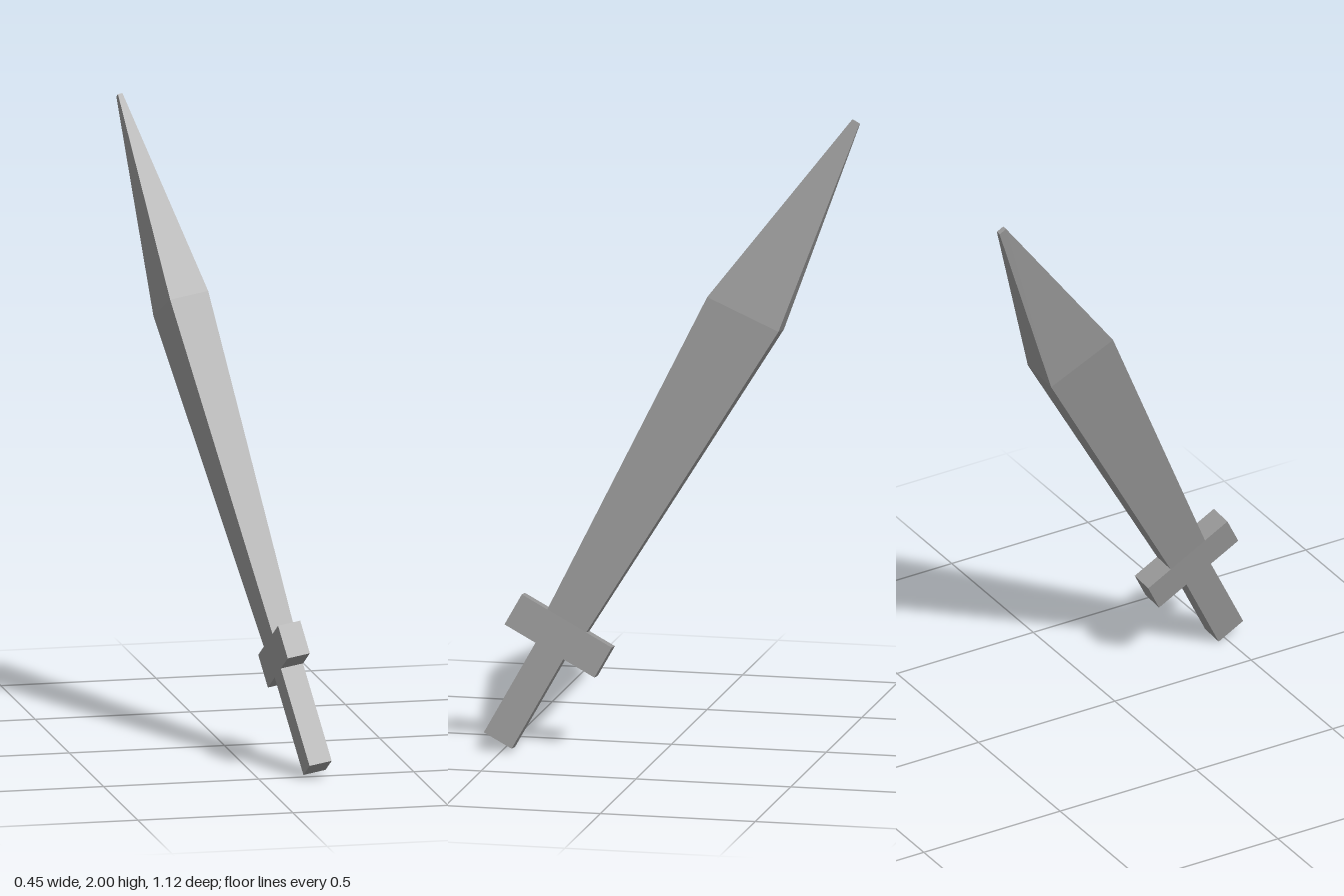
import * as THREE from 'three';

const THICK = 0.074; // shared thickness of grip, guard and blade root

function part(name, geometry) {
  const material = new THREE.MeshStandardMaterial({ color: 0x969696, flatShading: true });
  const mesh = new THREE.Mesh(geometry, material);
  mesh.name = name;
  return mesh;
}

// Box standing between two heights along the sword's own axis
function block(name, bottom, top, width) {
  const geometry = new THREE.BoxGeometry(THICK, top - bottom, width);
  geometry.translate(0, (bottom + top) / 2, 0);
  return part(name, geometry);
}

// Blade: a box with three rows of corners, fitted to root, belly and tip sections
function blade() {
  const rows = [
    { y: 0.438, thick: THICK, width: 0.143, slant: 0 },
    { y: 1.563, thick: 0.127, width: 0.25, slant: 0.01 },
    { y: 2.265, thick: 0.015, width: 0.027, slant: 0 },
  ];
  const geometry = new THREE.BoxGeometry(1, 2, 1, 1, 2, 1);
  const p = geometry.attributes.position;
  for (let i = 0; i < p.count; i++) {
    const row = rows[Math.round(p.getY(i)) + 1];
    const z = p.getZ(i);
    p.setXYZ(i, p.getX(i) * row.thick, row.y - Math.sign(z) * row.slant, z * row.width);
  }
  geometry.computeVertexNormals();
  return part('blade', geometry);
}

export function createModel() {
  const sword = new THREE.Group();
  sword.name = 'sword';
  sword.add(
    block('grip', 0, 0.328, 0.102),
    block('crossguard', 0.328, 0.438, 0.33),
    blade(),
  );

  // Lean the sword back and to its right
  const axis = new THREE.Vector3(-0.179, 0.866, -0.468).normalize();
  const edge = new THREE.Vector3(0, -axis.z, axis.y).normalize();
  const side = new THREE.Vector3().crossVectors(axis, edge);
  sword.quaternion.setFromRotationMatrix(new THREE.Matrix4().makeBasis(side, axis, edge));
  sword.position.set(0.187, 0.03, 0.513);

  const model = new THREE.Group();
  model.name = 'model';
  model.add(sword);
  return model;
}
